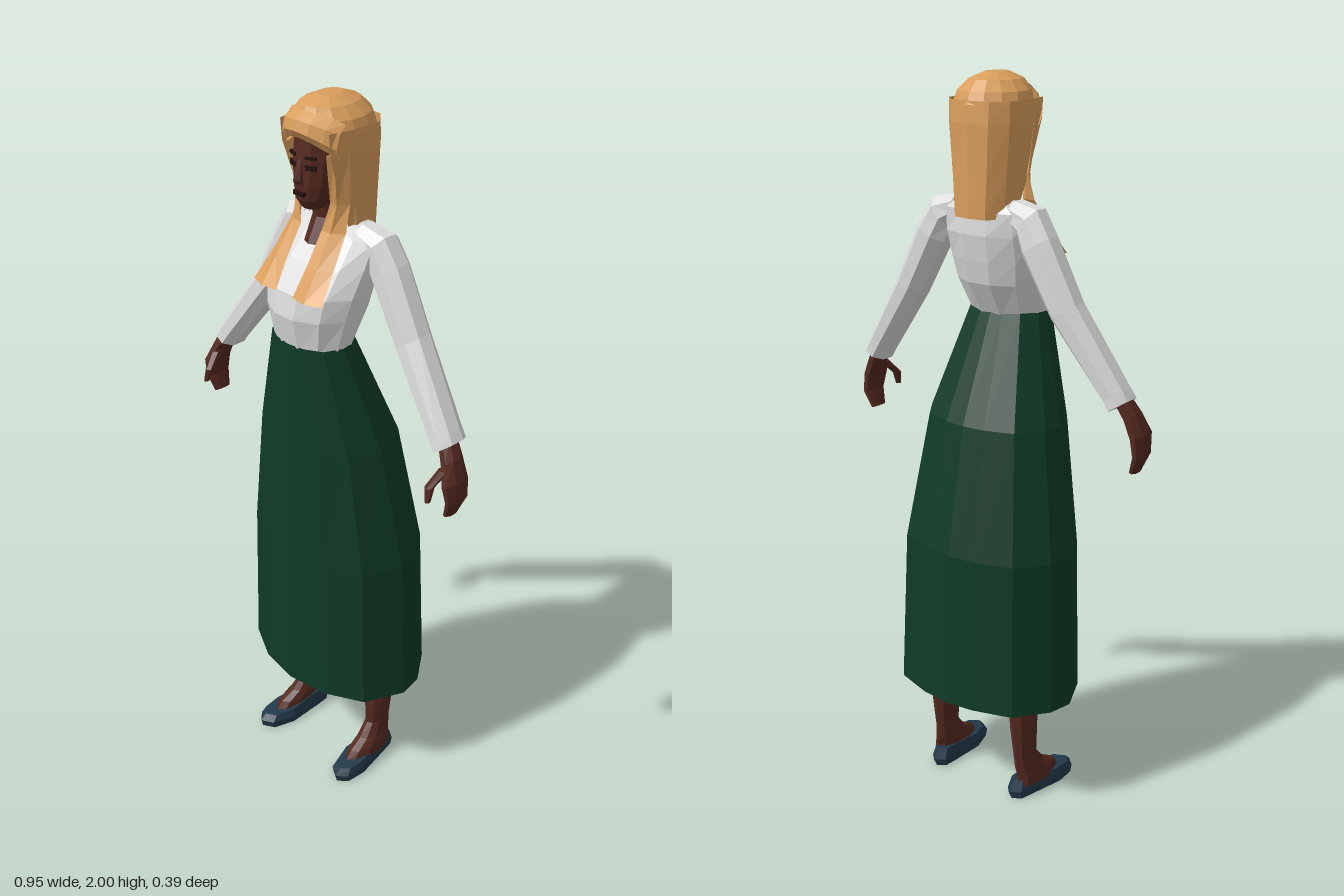
import * as THREE from 'three';

const mat = (name, color, side = THREE.FrontSide) => {
  const m = new THREE.MeshStandardMaterial({ color, side });
  m.name = name;
  return m;
};

// Faceted skin over rings listed bottom to top; each ring runs from +x towards +z
function loft(rings, { closed = true, capBottom = false, capTop = false } = {}) {
  const pos = [];
  const tri = (...pts) => pts.forEach(p => pos.push(p[0], p[1], p[2]));
  const n = rings[0].length;
  for (let r = 0; r < rings.length - 1; r++) {
    for (let i = 0; i < (closed ? n : n - 1); i++) {
      const j = (i + 1) % n, a = rings[r], b = rings[r + 1];
      tri(a[i], b[i], a[j]);
      tri(a[j], b[i], b[j]);
    }
  }
  const cap = (ring, up) => {
    const c = [0, 1, 2].map(k => ring.reduce((s, p) => s + p[k], 0) / n);
    ring.forEach((p, i) => {
      const q = ring[(i + 1) % n];
      up ? tri(c, q, p) : tri(c, p, q);
    });
  };
  if (capBottom) cap(rings[0], false);
  if (capTop) cap(rings[rings.length - 1], true);
  const g = new THREE.BufferGeometry();
  g.setAttribute('position', new THREE.Float32BufferAttribute(pos, 3));
  g.computeVertexNormals();
  return g;
}

// Elliptical ring; tilt leans it in the xy plane, lift raises its front
function ring(x, y, z, rx, rz, tilt = 0, n = 10, lift = 0) {
  return Array.from({ length: n }, (_, i) => {
    const a = (i + 0.5) / n * Math.PI * 2, c = Math.cos(a) * rx, s = Math.sin(a);
    return [x + c * Math.cos(tilt), y + c * Math.sin(tilt) + lift * s, z + s * rz];
  });
}

// Mirror image in x with the winding kept outward
function mirrorX(geo) {
  const g = geo.clone(), p = g.attributes.position;
  for (let i = 0; i < p.count; i += 3) {
    const v = [0, 2, 1].map(k => [-geo.attributes.position.getX(i + k), geo.attributes.position.getY(i + k), geo.attributes.position.getZ(i + k)]);
    v.forEach((q, k) => p.setXYZ(i + k, ...q));
  }
  g.computeVertexNormals();
  return g;
}

export function createModel() {
  const model = new THREE.Group();
  model.name = 'womanInLongSkirt';
  const skin = mat('dark brown skin', 0x54291f);
  const features = mat('face features', 0x241210);
  const hair = mat('golden hair', 0xd99e5c, THREE.DoubleSide);
  const blouse = mat('white blouse', 0xdcdcdc);
  const green = mat('green skirt', 0x0f3a26, THREE.DoubleSide);
  const shoe = mat('blue grey shoe', 0x22394a);

  const add = (name, geo, material) => {
    const m = new THREE.Mesh(geo, material);
    m.name = name;
    model.add(m);
    return m;
  };
  const pair = (name, geo, material) => {
    const cap = name[0].toUpperCase() + name.slice(1);
    add('left' + cap, geo, material);
    add('right' + cap, mirrorX(geo), material);
  };

  // Skirt: one half outline scaled to each level
  const half = [[0.275, 0.01], [0.225, 0.12], [0.12, 0.175], [0, 0.195], [0.085, -0.185], [0.195, -0.15], [0.262, -0.06]];
  const outline = [
    ...half.slice(0, 4),
    ...[2, 1, 0, 6, 5, 4].map(i => [-half[i][0], half[i][1]]),
    [0, -0.195], ...half.slice(4),
  ];
  const skirtLevels = [[0.315, 0.275, 0.197, -0.193], [0.75, 0.26, 0.192, -0.175], [1.1, 0.203, 0.186, -0.11], [1.39, 0.116, 0.18, 0.008]];
  add('skirt', loft(skirtLevels.map(([y, w, f, b]) =>
    outline.map(([x, z]) => [x / 0.275 * w, y, (f + b) / 2 + z / 0.195 * (f - b) / 2]))), green);

  // Blouse body
  add('blouseBody', loft([
    ring(0, 1.375, 0.093, 0.112, 0.083, 0, 12),
    ring(0, 1.47, 0.076, 0.134, 0.121, 0, 12),
    ring(0, 1.53, 0.064, 0.147, 0.122, 0, 12),
    ring(0, 1.60, 0.033, 0.152, 0.102, 0, 12),
    ring(0, 1.66, 0.008, 0.15, 0.072, 0, 12),
    ring(0, 1.695, 0.012, 0.065, 0.05, 0, 12, -0.015),
  ], { capBottom: true, capTop: true }), blouse);

  // Sleeves, wrist to shoulder
  pair('sleeve', loft([
    ring(0.41, 1.208, 0.022, 0.035, 0.052, 0.6, 8),
    ring(0.395, 1.232, 0.02, 0.036, 0.05, 0.6, 8),
    ring(0.255, 1.43, -0.004, 0.047, 0.051, 0.58, 8),
    ring(0.17, 1.585, -0.008, 0.052, 0.053, 0.55, 8),
    ring(0.14, 1.64, -0.004, 0.05, 0.05, 0.9, 8),
    ring(0.09, 1.66, 0, 0.034, 0.042, 1.4, 8),
  ], { capBottom: true, capTop: true }), blouse);

  // Hands and thumbs
  pair('hand', loft([
    ring(0.442, 1.033, 0.042, 0.01, 0.026, -0.3, 8),
    ring(0.459, 1.08, 0.042, 0.015, 0.038, -0.1, 8),
    ring(0.453, 1.13, 0.045, 0.02, 0.043, 0.3, 8),
    ring(0.432, 1.18, 0.036, 0.022, 0.034, 0.5, 8),
    ring(0.405, 1.225, 0.025, 0.022, 0.028, 0.6, 8),
  ], { capBottom: true }), skin);
  pair('thumb', loft([
    ring(0.425, 1.088, 0.111, 0.007, 0.008, 0, 6),
    ring(0.42, 1.125, 0.1, 0.012, 0.014, 0, 6),
    ring(0.432, 1.165, 0.06, 0.014, 0.018, 0, 6),
  ], { capBottom: true, capTop: true }), skin);

  // Legs with the instep running into the shoes
  pair('leg', loft([
    ring(0.153, 0.035, 0.035, 0.034, 0.09),
    ring(0.151, 0.062, 0.024, 0.033, 0.076),
    ring(0.147, 0.085, 0.002, 0.03, 0.056),
    ring(0.144, 0.125, -0.016, 0.026, 0.041),
    ring(0.143, 0.22, -0.022, 0.034, 0.046),
    ring(0.142, 0.32, -0.022, 0.039, 0.051),
    ring(0.135, 0.5, -0.005, 0.046, 0.052),
    ring(0.11, 0.9, 0.02, 0.07, 0.075),
  ], { capTop: true }), skin);

  // Shoes: a foot outline stacked in three layers
  const foot = [[0.03, -0.02], [0.045, 0.09], [0.036, 0.15], [0.008, 0.175], [-0.026, 0.155], [-0.042, 0.09], [-0.03, -0.02], [-0.024, -0.06], [0, -0.076], [0.024, -0.06]];
  const layer = (y, k, slope) => foot.map(([x, z]) =>
    [0.145 + x * k + z * 0.07, y - slope * (z + 0.076), 0.045 + (z - 0.045) * k]);
  pair('shoe', loft([layer(0, 0.96, 0), layer(0.022, 1, 0), layer(0.054, 0.86, 0.06)], { capBottom: true, capTop: true }), shoe);

  // Neck and head
  add('neck', loft([
    ring(0, 1.638, 0.058, 0.04, 0.05),
    ring(0, 1.7, 0.032, 0.04, 0.046),
    ring(0, 1.79, 0.045, 0.042, 0.046),
  ], { capBottom: true }), skin);
  add('head', loft([
    ring(0, 1.732, 0.088, 0.026, 0.028, 0, 14),
    ring(0, 1.757, 0.077, 0.047, 0.055, 0, 14),
    ring(0, 1.8, 0.06, 0.062, 0.075, 0, 14),
    ring(0, 1.86, 0.052, 0.068, 0.08, 0, 14),
    ring(0, 1.93, 0.042, 0.07, 0.083, 0, 14),
    ring(0, 1.97, 0.04, 0.045, 0.055, 0, 14),
  ], { capBottom: true, capTop: true }), skin);
  add('nose', loft([
    ring(0, 1.798, 0.128, 0.016, 0.014, 0, 6),
    ring(0, 1.81, 0.13, 0.014, 0.022, 0, 6),
    ring(0, 1.86, 0.125, 0.007, 0.009, 0, 6),
  ], { capBottom: true, capTop: true }), skin);
  add('mouth', new THREE.BoxGeometry(0.036, 0.011, 0.009), features).position.set(0, 1.775, 0.133);
  for (const s of [1, -1]) {
    for (const [name, y, h] of [['Eye', 1.842, 0.012], ['Brow', 1.866, 0.007]]) {
      const plate = add((s > 0 ? 'left' : 'right') + name, new THREE.BoxGeometry(0.028, h, 0.009), features);
      plate.position.set(s * 0.03, y, 0.1225);
      plate.rotation.y = s * 0.38;
    }
  }

  // Long back hair, open around the face
  const curtain = (y, w, f, b) => {
    const side = [[w * 0.86, f], [w, f * 0.5], [w, b * 0.45], [w * 0.62, b * 0.9]];
    return [...side.map(([x, z]) => [-x, y, z]), [0, y, b], ...side.reverse().map(([x, z]) => [x, y, z])];
  };
  add('backHair', loft([
    curtain(1.645, 0.078, 0.02, -0.086), curtain(1.75, 0.087, 0.07, -0.086),
    curtain(1.88, 0.097, 0.11, -0.088), curtain(1.935, 0.097, 0.115, -0.084),
  ], { closed: false }), hair);

  // Crown
  add('crownHair', loft([
    ring(0, 1.925, 0.019, 0.1, 0.106, 0, 14),
    ring(0, 1.955, 0.024, 0.09, 0.1, 0, 14),
    ring(0, 1.982, 0.03, 0.064, 0.08, 0, 14),
    ring(0, 1.999, 0.032, 0.026, 0.036, 0, 14),
  ], { capTop: true }), hair);

  // Parted fringe: a bulging strip with its lower edge rising to the middle
  const across = [-1, -0.75, -0.4, 0, 0.4, 0.75, 1];
  const strip = (yMid, ySide, zMid, zSide) => across.map(t => {
    const k = t * t;
    return [-t * 0.093, yMid + (ySide - yMid) * k, zMid + (zSide - zMid) * k];
  });
  add('fringe', loft([
    strip(1.912, 1.865, 0.134, 0.085), strip(1.932, 1.895, 0.149, 0.1),
    strip(1.957, 1.93, 0.142, 0.09), strip(1.978, 1.95, 0.105, 0.07),
  ], { closed: false }), hair);

  // Front locks falling over the chest
  const lock = (y, inner, outer, zIn, zOut) => [
    [outer, y, zOut], [(inner + outer) / 2, y, (zIn + zOut) / 2 + 0.012],
    [inner, y, zIn], [(inner + outer) / 2, y, (zIn + zOut) / 2 - 0.012],
  ];
  pair('frontLock', loft([
    lock(1.53, 0.03, 0.122, 0.189, 0.178), lock(1.6, 0.036, 0.106, 0.146, 0.125),
    lock(1.68, 0.036, 0.094, 0.096, 0.07), lock(1.75, 0.055, 0.088, 0.085, 0.05),
    lock(1.88, 0.068, 0.097, 0.11, 0.06),
  ], { capBottom: true, capTop: true }), hair);

  return model;
}
